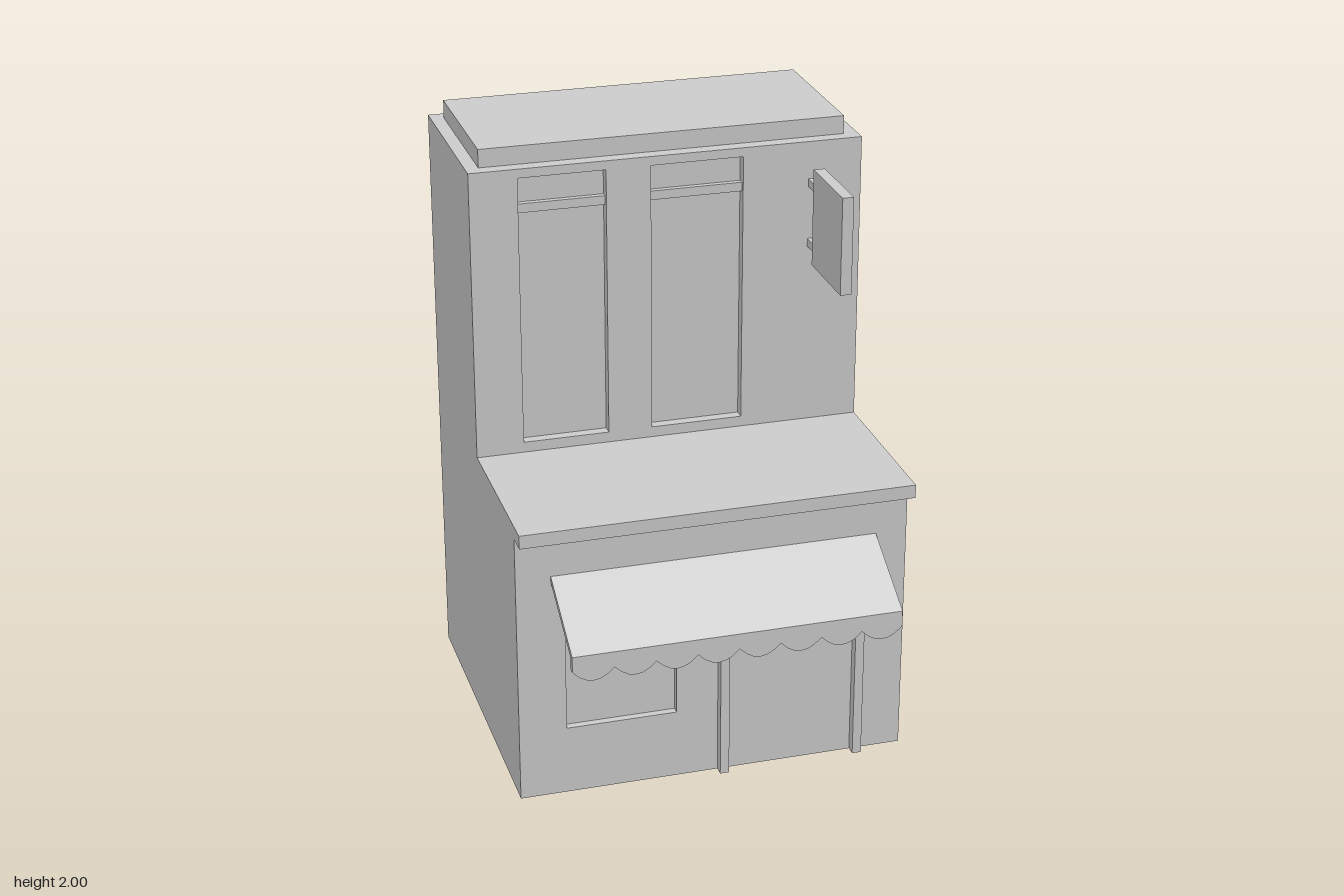
import * as THREE from 'three';

const mat = new THREE.MeshStandardMaterial({ color: 0xcccccc, flatShading: true, side: THREE.DoubleSide });

// Main dimensions
const W = 0.643, BACK = -0.69, UPPER_Z = -0.085, FRONT_Z = 0.43, LEDGE_Y = 0.975, TOP_Y = 1.94;

export function createModel() {
  const group = new THREE.Group();

  const add = (name, geometry, x = 0, y = 0, z = 0) => {
    const mesh = new THREE.Mesh(geometry, mat);
    mesh.name = name;
    mesh.position.set(x, y, z);
    group.add(mesh);
    return mesh;
  };
  // Box given by its limits on each axis
  const box = (name, x0, x1, y0, y1, z0, z1) =>
    add(name, new THREE.BoxGeometry(x1 - x0, y1 - y0, z1 - z0), (x0 + x1) / 2, (y0 + y1) / 2, (z0 + z1) / 2);
  const polygon = (points) => new THREE.Shape(points.map(([x, y]) => new THREE.Vector2(x, y)));
  const rect = (x0, x1, y0, y1) => polygon([[x0, y0], [x1, y0], [x1, y1], [x0, y1]]);

  // Front wall with openings, each backed by a shallow open box
  const wall = (name, y0, y1, z, openings, depth) => {
    const shape = rect(-W, W, y0, y1);
    for (const [a, b, c, d] of openings) {
      shape.holes.push(rect(a, b, c, d));
      const recess = box('windowRecess', a, b, c, d, z - depth, z);
      const index = Array.from(recess.geometry.index.array);
      index.splice(24, 6); // leave the front of the box open
      recess.geometry.setIndex(index);
      recess.geometry.clearGroups();
    }
    add(name, new THREE.ShapeGeometry(shape), 0, 0, z);
  };

  // Hollow shell, open at the bottom
  const profile = polygon([[-FRONT_Z, 0], [-BACK, 0], [-BACK, TOP_Y], [-UPPER_Z, TOP_Y],
    [-UPPER_Z, LEDGE_Y], [-FRONT_Z, LEDGE_Y]]);
  for (const side of [1, -1]) {
    const sideWall = new THREE.ShapeGeometry(profile);
    if (side > 0) sideWall.rotateY(Math.PI / 2);
    else sideWall.scale(-1, 1, 1).rotateY(-Math.PI / 2);
    if (side < 0) sideWall.setIndex(Array.from(sideWall.index.array).reverse());
    add('sideWall', sideWall, side * W, 0, 0);
  }
  add('backWall', new THREE.PlaneGeometry(2 * W, TOP_Y).rotateY(Math.PI), 0, TOP_Y / 2, BACK);
  add('roof', new THREE.PlaneGeometry(2 * W, UPPER_Z - BACK).rotateX(-Math.PI / 2), 0, TOP_Y, (UPPER_Z + BACK) / 2);
  box('roofCap', -0.6, 0.597, TOP_Y, 2, -0.645, -0.13);

  // Upper storey with two tall windows and their transom bars
  const tall = [[-0.487, -0.203, 1.01, 1.91], [-0.057, 0.247, 1.01, 1.91]];
  wall('upperWall', LEDGE_Y, TOP_Y, UPPER_Z, tall, 0.035);
  for (const [a, b] of tall) box('transomBar', a, b, 1.79, 1.82, UPPER_Z - 0.034, UPPER_Z - 0.015);

  // Shop front, display window and flat lower roof
  wall('shopWall', 0, LEDGE_Y - 0.045, FRONT_Z, [[-0.487, -0.123, 0.235, 0.6]], 0.025);
  box('lowerRoof', -W, W, 0.93, LEDGE_Y, UPPER_Z, 0.5);

  // Door frame around the flush door
  for (const x of [0.015, 0.47]) box('doorPost', x, x + 0.03, 0, 0.61, FRONT_Z - 0.005, 0.463);
  box('doorHeader', 0.045, 0.47, 0.58, 0.61, FRONT_Z - 0.005, 0.463);

  // Sloping awning sheet, its side profile swept along x
  const x0 = -0.53, x1 = 0.54;
  const slope = polygon([[-0.41, 0.797], [-0.69, 0.638], [-0.69, 0.61], [-0.67, 0.61], [-0.67, 0.627], [-0.41, 0.775]]);
  add('awning', new THREE.ExtrudeGeometry(slope, { depth: x1 - x0, bevelEnabled: false }).rotateY(Math.PI / 2), x0, 0, 0);

  // Scalloped valance along the awning's lower edge
  const count = 8, step = (x1 - x0) / count;
  const valance = new THREE.Shape();
  valance.moveTo(x1, 0.61);
  valance.lineTo(x0, 0.61);
  valance.lineTo(x0, 0.585);
  for (let i = 0; i < count; i++) {
    const x = x0 + i * step;
    valance.quadraticCurveTo(x + step / 2, 0.511, x + step, 0.585);
  }
  add('valance', new THREE.ExtrudeGeometry(valance, { depth: 0.02, bevelEnabled: false, curveSegments: 6 }), 0, 0, 0.67);

  // Hanging sign on two brackets
  box('signBoard', 0.46, 0.497, 1.545, 1.868, -0.02, 0.258);
  for (const y of [1.585, 1.788]) box('signBracket', 0.466, 0.49, y, y + 0.027, UPPER_Z, -0.02);

  return group;
}
